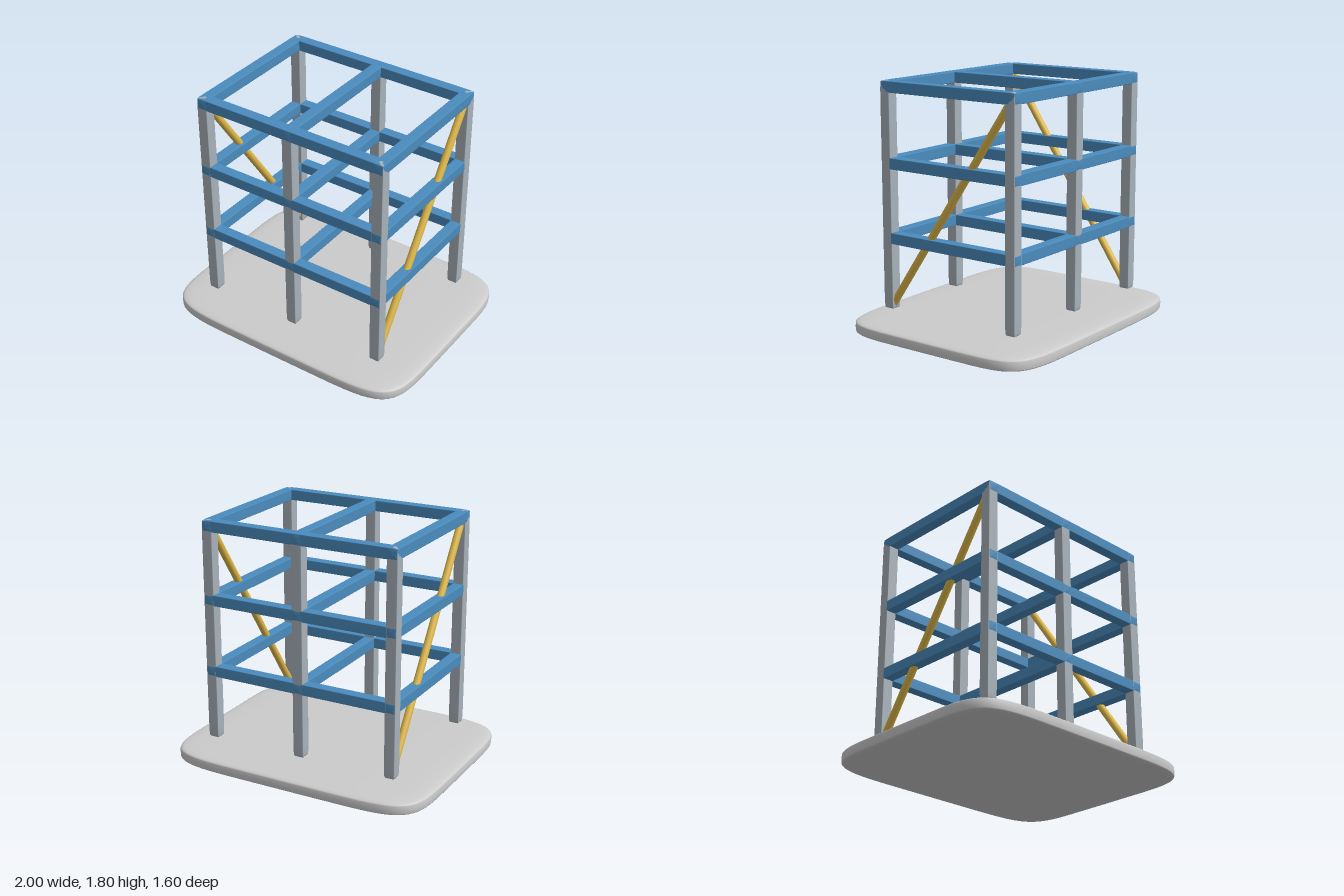
import * as THREE from 'three';
import { mergeVertices } from 'three/addons/utils/BufferGeometryUtils.js';

const paint = (color) => new THREE.MeshStandardMaterial({ color });

// Rounded block: a sphere squared off by an exponent (smaller is boxier)
function softBlock(hx, hy, hz, e, segments) {
  const geo = new THREE.SphereGeometry(1, segments * 2, segments);
  geo.deleteAttribute('uv');
  geo.deleteAttribute('normal');
  const p = geo.attributes.position;
  const power = (v) => (Math.abs(v) < 1e-5 ? 0 : Math.sign(v) * Math.abs(v) ** e);
  for (let i = 0; i < p.count; i++) {
    const x = p.getX(i), y = p.getY(i), z = p.getZ(i);
    const r = Math.hypot(x, z);
    const ring = r < 1e-5 ? 0 : power(r);
    p.setXYZ(i,
      r < 1e-5 ? 0 : hx * ring * power(x / r),
      hy * power(y),
      r < 1e-5 ? 0 : hz * ring * power(z / r));
  }
  const merged = mergeVertices(geo, 1e-5);
  merged.computeVertexNormals();
  return merged;
}

export function createModel() {
  const group = new THREE.Group();
  const grey = paint(0xcccccc);
  const steel = paint(0xa8b2ba);
  const blue = paint(0x4a8cbe);
  const yellow = paint(0xe0b94a);

  const add = (name, geo, mat, x, y, z) => {
    const mesh = new THREE.Mesh(geo, mat);
    mesh.name = name;
    mesh.position.set(x, y, z);
    group.add(mesh);
    return mesh;
  };

  const T = 0.04; // half thickness of posts and beams
  const columns = [-0.712, 0, 0.712];
  const rows = [-0.535, 0.535];
  const levels = [0.695, 1.227, 1.76];

  // Base slab, floating just below the frame
  add('baseSlab', softBlock(1, 0.057, 0.8, 0.3, 32), grey, 0, 0.057, 0);

  // Upright posts
  const postGeo = softBlock(T, 0.81, T, 0.1, 16);
  for (const x of columns) for (const z of rows) add('post', postGeo, steel, x, 0.99, z);

  // Horizontal beams on each level
  const longGeo = softBlock(T, 0.752, T, 0.1, 16).rotateZ(Math.PI / 2);
  const crossGeo = softBlock(T, 0.576, T, 0.1, 16).rotateX(Math.PI / 2);
  for (const y of levels) {
    for (const z of rows) add('longBeam', longGeo, blue, 0, y, z);
    for (const x of columns) add('crossBeam', crossGeo, blue, x, y, 0);
  }

  // One diagonal brace per side, leaning opposite ways
  const up = new THREE.Vector3(0, 1, 0);
  for (const side of [-1, 1]) {
    const span = new THREE.Vector3(0, 1.57, -1.07 * side);
    const geo = new THREE.CylinderGeometry(0.027, 0.027, span.length(), 24);
    const brace = add(side > 0 ? 'leftBrace' : 'rightBrace', geo, yellow, 0.712 * side, 0.975, 0);
    brace.quaternion.setFromUnitVectors(up, span.normalize());
  }
  return group;
}
